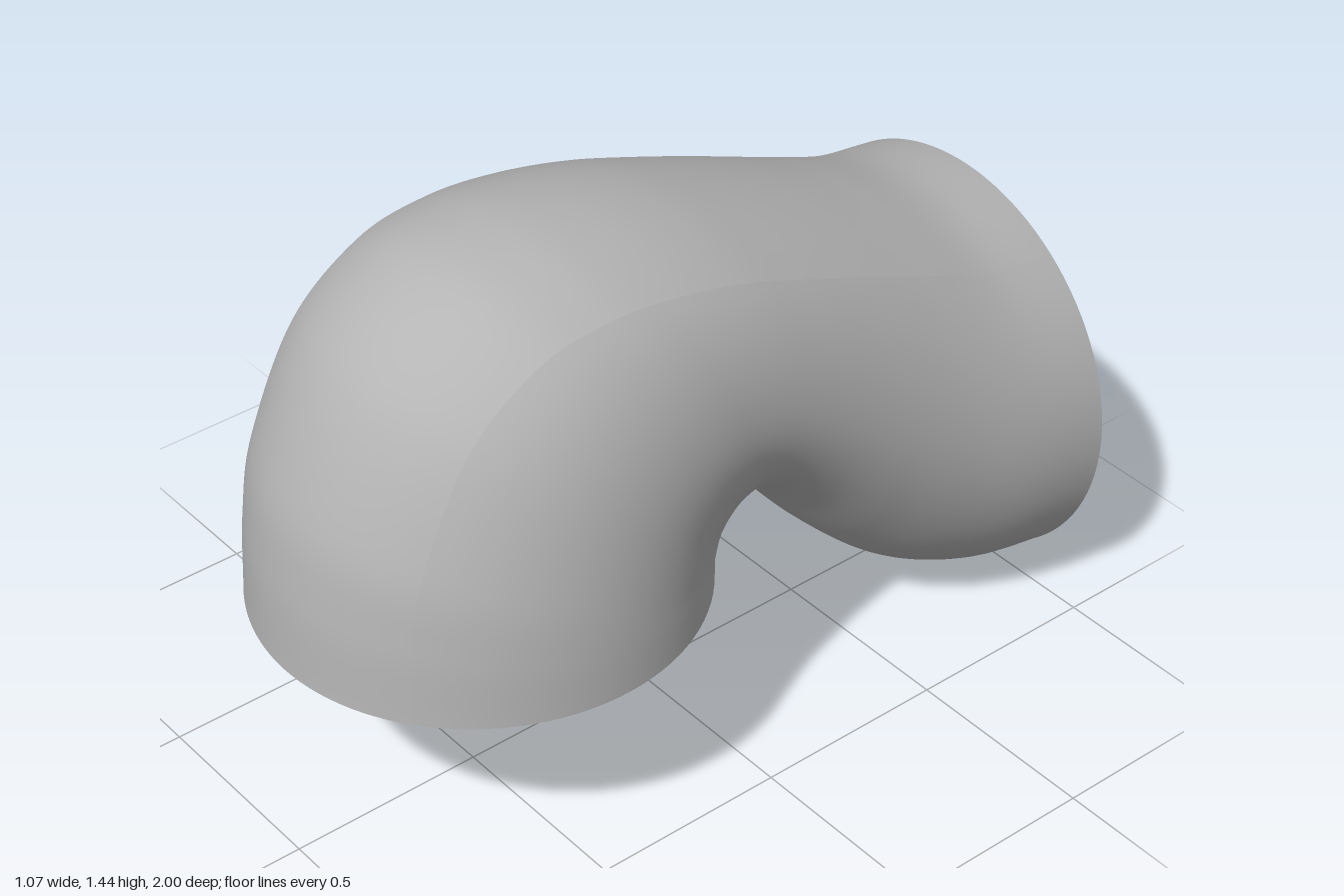
import * as THREE from 'three';

const R = 0.537;            // end circle radius
const CREASE_X = 0.322;     // half width of the outer arc strip
const CREASE = Math.asin(CREASE_X / R);
const END_Y = 0.54, END_Z = 0.463;

// Cross-sections: outer z, outer y, inner z, inner y, half width
const sections = [
  [-1.0, 1.077, -1.0, 0.003, 0.537],
  [-0.8, 1.108, -0.82, 0.03, 0.513],
  [-0.6, 1.18, -0.64, 0.115, 0.48],
  [-0.4, 1.26, -0.47, 0.27, 0.455],
  [-0.2, 1.335, -0.33, 0.43, 0.442],
  [0.0, 1.4, -0.22, 0.54, 0.44],
  [0.2, 1.438, -0.155, 0.578, 0.447],
  [0.4, 1.445, -0.125, 0.583, 0.465],
  [0.6, 1.4, -0.105, 0.578, 0.484],
  [0.8, 1.245, -0.088, 0.568, 0.503],
  [0.94, 0.97, -0.078, 0.555, 0.522],
  [0.985, 0.76, -0.075, 0.548, 0.532],
  [1.0, 0.54, -0.074, 0.54, 0.537],
];
const outer = new THREE.CatmullRomCurve3(
  sections.map(([z, y, , , w]) => new THREE.Vector3(w, y, z)), false, 'catmullrom', 0.5);
const inner = new THREE.CatmullRomCurve3(
  sections.map(([, , z, y]) => new THREE.Vector3(0, y, z)), false, 'catmullrom', 0.5);

// Point on the elbow; angle runs from the outer ridge round to the inner one
function surfacePoint(t, angle) {
  const o = outer.getPoint(t), n = inner.getPoint(t);
  const w = o.x;
  o.x = 0;
  const length = o.distanceTo(n);
  const a = angle > Math.PI ? 2 * Math.PI - angle : Math.abs(angle);
  const side = angle < 0 || angle > Math.PI ? -1 : 1;
  let x = R * Math.sin(a);
  let drop = R * (1 - Math.cos(a));
  if (a > CREASE) {
    const start = R * (1 - Math.cos(CREASE));
    drop = start + (drop - start) * (length - start) / (2 * R - start);
    x = a < Math.PI / 2
      ? CREASE_X + (x - CREASE_X) * (w - CREASE_X) / (R - CREASE_X)
      : w * Math.sin(a);
  }
  const p = o.lerp(n, drop / length);
  p.x = side * x;
  return p;
}

// Smooth patch between two angles along the whole elbow
function patch(from, to, columns, rows = 120) {
  const positions = [], index = [];
  for (let i = 0; i <= rows; i++) {
    for (let j = 0; j <= columns; j++) {
      const p = surfacePoint(i / rows, from + (to - from) * j / columns);
      positions.push(p.x, p.y, p.z);
      if (i < rows && j < columns) {
        const a = i * (columns + 1) + j, b = a + columns + 1;
        index.push(a, b, a + 1, b, b + 1, a + 1);
      }
    }
  }
  const g = new THREE.BufferGeometry();
  g.setAttribute('position', new THREE.Float32BufferAttribute(positions, 3));
  g.setIndex(index);
  g.computeVertexNormals();
  return g;
}

export function createModel() {
  const group = new THREE.Group();
  group.name = 'pipeElbow';
  const grey = new THREE.MeshStandardMaterial({ color: 0xb4b4b4, side: THREE.DoubleSide });
  grey.name = 'grey';
  const add = (name, geometry) => {
    const mesh = new THREE.Mesh(geometry, grey);
    mesh.name = name;
    group.add(mesh);
  };

  // Bent body: outer strip and the sides with the inner bend
  add('outerStrip', patch(-CREASE, CREASE, 24));
  add('sidesAndInnerBend', patch(CREASE, 2 * Math.PI - CREASE, 80));

  // Lower end face with its round peg
  add('lowerEndFace', new THREE.CircleGeometry(R, 96)
    .rotateX(Math.PI / 2).translate(0, END_Y, END_Z));
  add('peg', new THREE.CylinderGeometry(0.198, 0.198, 0.08, 64)
    .translate(0, END_Y - 0.04, END_Z));

  // Back end face with its round socket
  add('backEndFace', new THREE.RingGeometry(0.2, R, 96)
    .rotateY(Math.PI).translate(0, END_Y, -1));
  add('socketWall', new THREE.CylinderGeometry(0.2, 0.2, 0.08, 64, 1, true)
    .rotateX(Math.PI / 2).translate(0, END_Y, -0.96));
  add('socketFloor', new THREE.CircleGeometry(0.2, 64)
    .rotateY(Math.PI).translate(0, END_Y, -0.92));

  return group;
}
